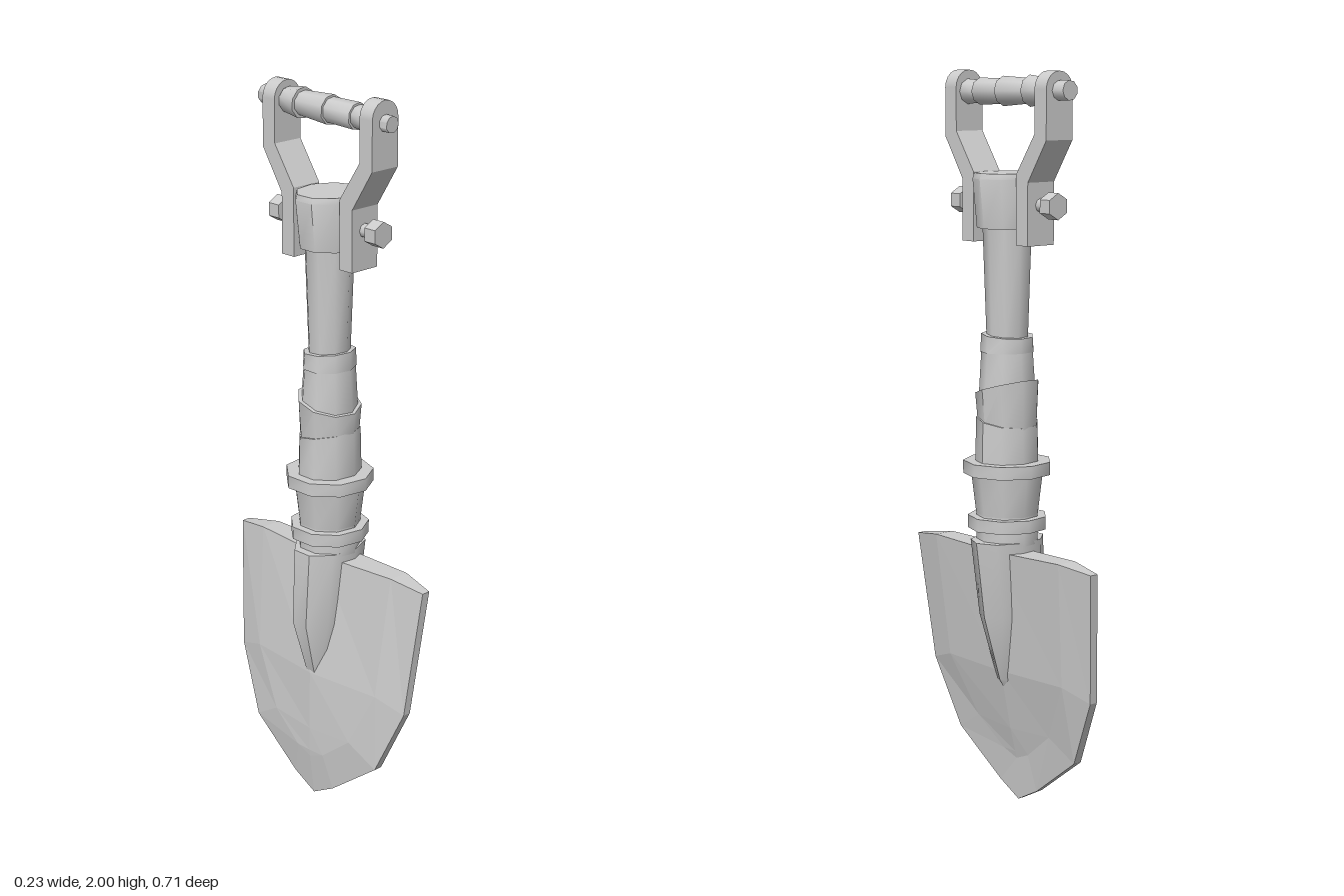
import * as THREE from 'three';
import { mergeGeometries, toCreasedNormals } from 'three/addons/utils/BufferGeometryUtils.js';

const material = new THREE.MeshStandardMaterial({ color: 0xcccccc });
const flatMaterial = new THREE.MeshStandardMaterial({ color: 0xcccccc, flatShading: true });

function addMesh(parent, name, geometry, mat = material) {
  const mesh = new THREE.Mesh(geometry, mat);
  mesh.name = name;
  parent.add(mesh);
  return mesh;
}

// Closed loft through rings listed bottom to top: [y, rx, rz = rx, centreX = 0, tilt = 0]
function loft(rings, sides = 9) {
  const first = rings[0], last = rings[rings.length - 1];
  const all = [[first[0], 0, 0, first[3], first[4]], ...rings, [last[0], 0, 0, last[3], last[4]]];
  const bands = [];
  for (let i = 0; i < all.length - 1; i++) {
    const g = new THREE.CylinderGeometry(1, 1, 1, sides, 1, true, Math.PI / 2);
    const p = g.attributes.position;
    for (let v = 0; v < p.count; v++) {
      const [y, rx, rz = rx, cx = 0, tilt = 0] = all[p.getY(v) > 0 ? i + 1 : i];
      const z = p.getZ(v) * rz;
      p.setXYZ(v, cx + p.getX(v) * rx, y + tilt * z, z);
    }
    bands.push(g);
  }
  return toCreasedNormals(mergeGeometries(bands), 0.75);
}

// Lens-shaped blade lofted from the top edge down to the point
function bladeGeometry() {
  // each point: z, y, back x, front x for the rim, the ridge and the middle
  const rows = [
    [[0.353, 0.71, 0, 0.025], [0.25, 0.725, -0.015, 0.045], [0, 0.72, -0.03, 0.055]],
    [[0.32, 0.35, -0.032, -0.008], [0.23, 0.38, -0.052, 0.012], [0, 0.38, -0.075, 0.025]],
    [[0.235, 0.16, -0.055, -0.03], [0.145, 0.215, -0.068, -0.02], [0, 0.21, -0.078, -0.01]],
    [[0.075, 0.04, -0.06, -0.04], [0.05, 0.14, -0.075, -0.03], [0, 0.14, -0.077, -0.028]],
    [[0, 0, -0.06, -0.04], [0, 0.12, -0.075, -0.033], [0, 0.12, -0.075, -0.033]],
  ];
  const positions = [], index = [];
  for (const [rim, ridge, mid] of rows) {
    const across = [[rim, 1], [ridge, 1], [mid, 1], [ridge, -1], [rim, -1]];
    for (const [p, s] of across) positions.push(p[3], p[1], s * p[0]);
    for (const [p, s] of across.reverse()) positions.push(p[2], p[1], s * p[0]);
  }
  const n = 10;
  for (let i = 0; i < rows.length - 1; i++) {
    for (let k = 0; k < n; k++) {
      const a = i * n + k, b = i * n + (k + 1) % n;
      index.push(a, a + n, b + n, a, b + n, b);
    }
  }
  // top edge: quads between front and back
  for (let k = 0; k < 4; k++) index.push(k, k + 1, 8 - k, k, 8 - k, 9 - k);
  const g = new THREE.BufferGeometry();
  g.setAttribute('position', new THREE.Float32BufferAttribute(positions, 3));
  g.setIndex(index);
  g.computeVertexNormals();
  return g;
}

// One cranked side arm of the handle with its bolt, on the +z side
function handleSide() {
  const side = new THREE.Group();
  const profile = new THREE.Shape([
    [0.2, 1.955], [0.155, 1.955], [0.155, 1.84], [0.085, 1.735],
    [0.085, 1.55], [0.13, 1.55], [0.13, 1.715], [0.2, 1.825],
  ].map(([z, y]) => new THREE.Vector2(z, y)));
  const arm = new THREE.ExtrudeGeometry(profile, { depth: 0.092, bevelEnabled: false });
  arm.rotateY(-Math.PI / 2).translate(0.046, 0, 0);
  addMesh(side, 'handleArm', arm);

  const end = new THREE.CylinderGeometry(0.046, 0.046, 0.045, 10, 1, false, Math.PI / 2, Math.PI);
  end.rotateX(Math.PI / 2).translate(0, 1.955, 0.1775);
  addMesh(side, 'roundedArmEnd', end);

  const shank = new THREE.CylinderGeometry(0.019, 0.019, 0.12, 8);
  addMesh(side, 'boltShank', shank.rotateX(Math.PI / 2).translate(0, 1.655, 0.115));
  const head = new THREE.CylinderGeometry(0.035, 0.035, 0.038, 6);
  addMesh(side, 'boltHead', head.rotateX(Math.PI / 2).translate(0, 1.655, 0.178), flatMaterial);
  return side;
}

export function createModel() {
  const model = new THREE.Group();
  model.name = 'shovel';

  addMesh(model, 'blade', bladeGeometry(), flatMaterial);

  // Socket tapering into the blade
  addMesh(model, 'socket', loft([
    [0.33, 0.035, 0.025, -0.022], [0.355, 0.048, 0.038, -0.02],
    [0.54, 0.102, 0.075, -0.018], [0.75, 0.111, 0.084, 0.001],
  ]));

  // Rings and sleeve above the socket
  addMesh(model, 'lowerRing', loft([
    [0.74, 0.085], [0.78, 0.085], [0.78, 0.108], [0.815, 0.108], [0.815, 0.085], [0.84, 0.085],
  ]));
  addMesh(model, 'sleeve', loft([[0.82, 0.085], [0.935, 0.099]]));
  addMesh(model, 'collar', loft([[0.93, 0.12], [0.965, 0.12]]));

  // Wrapped grip made of slanted bands
  addMesh(model, 'gripBandLow', loft([[0.96, 0.091, 0.083], [1.075, 0.088, 0.08, 0, 0.18]]));
  addMesh(model, 'gripBandMiddle', loft([[1.07, 0.082, 0.08, 0, 0.18], [1.165, 0.091, 0.082, 0, -0.3]]));
  addMesh(model, 'gripBandHigh', loft([[1.15, 0.08, 0.075, 0, -0.3], [1.28, 0.071, 0.068]]));
  addMesh(model, 'gripTop', loft([[1.26, 0.076, 0.07], [1.305, 0.072, 0.069, 0, 0.08]]));

  addMesh(model, 'shaft', loft([[1.28, 0.056], [1.6, 0.067]]));
  addMesh(model, 'shaftCap', loft([
    [1.59, 0.083, 0.08], [1.72, 0.098, 0.086], [1.735, 0.093, 0.082],
  ]));

  // Handle: mirrored arms joined by a stepped crossbar
  const handle = new THREE.Group();
  handle.name = 'handle';
  for (const [name, turn] of [['leftHandleSide', 0], ['rightHandleSide', Math.PI]]) {
    const side = handleSide();
    side.name = name;
    side.rotation.y = turn;
    handle.add(side);
  }
  const bar = loft([
    [-0.24, 0.026], [-0.152, 0.026], [-0.152, 0.034], [-0.095, 0.042], [-0.095, 0.033],
    [0.01, 0.04], [0.01, 0.034], [0.105, 0.036], [0.105, 0.03], [0.155, 0.034],
    [0.155, 0.022], [0.225, 0.022],
  ], 9);
  const crossbar = addMesh(handle, 'crossbar', bar);
  crossbar.rotation.x = Math.PI / 2 + 0.02;
  crossbar.position.y = 1.947;
  model.add(handle);

  return model;
}
